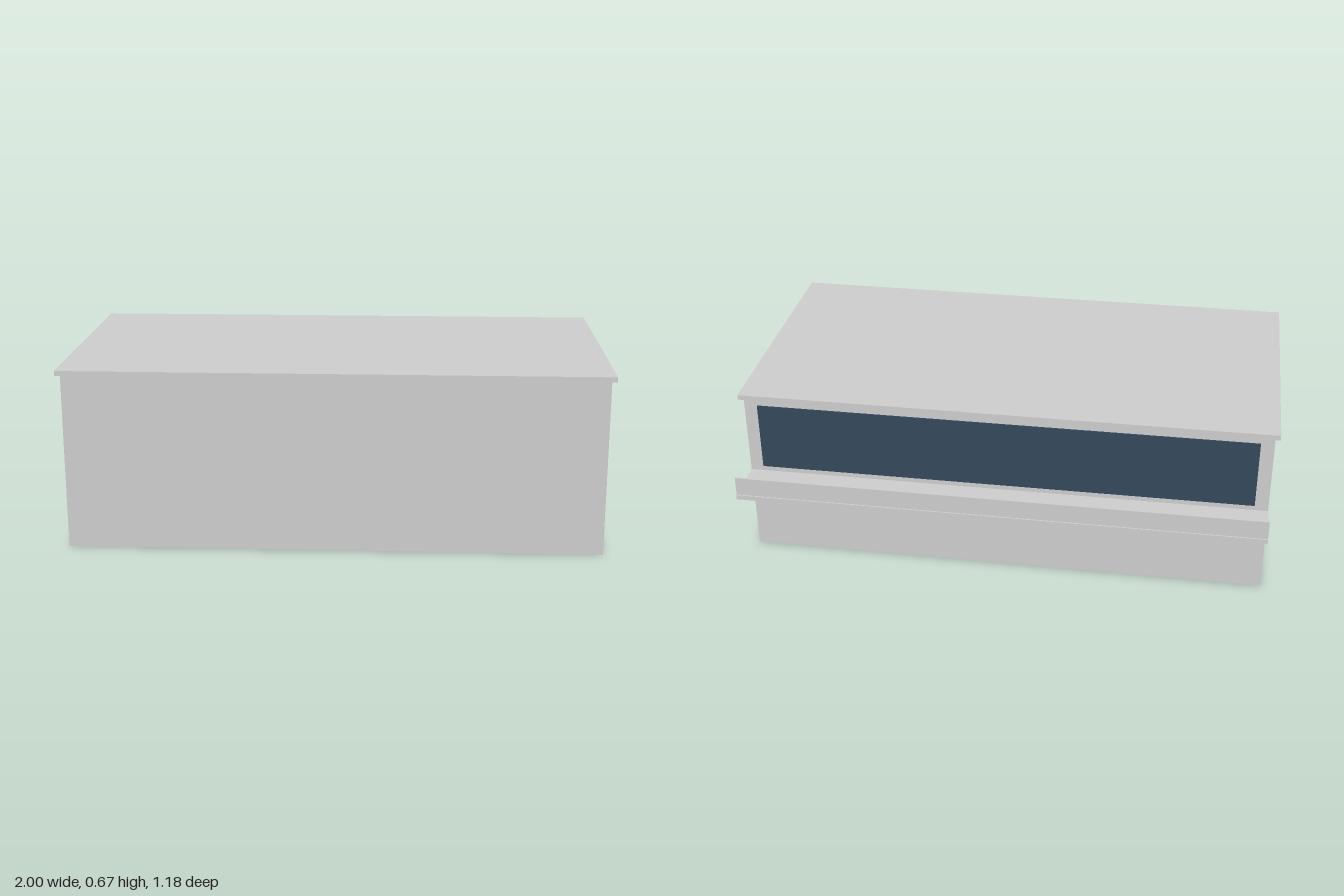
import * as THREE from 'three';

export function createModel() {
  const model = new THREE.Group();
  const grey = new THREE.MeshStandardMaterial({ color: 0xcccccc });
  const glass = new THREE.MeshStandardMaterial({ color: 0x33485a });

  // Box given by its [min, max] extents on each axis
  function box(name, [x0, x1], [y0, y1], [z0, z1], material = grey) {
    const mesh = new THREE.Mesh(new THREE.BoxGeometry(x1 - x0, y1 - y0, z1 - z0), material);
    mesh.position.set((x0 + x1) / 2, (y0 + y1) / 2, (z0 + z1) / 2);
    mesh.name = name;
    model.add(mesh);
  }

  // Main block and overhanging flat roof
  box('walls', [-0.983, 0.983], [0, 0.653], [-0.405, 0.577]);
  box('roof', [-1, 1], [0.653, 0.672], [-0.422, 0.592]);

  // Wide window across the upper back wall
  box('backWindow', [-0.933, 0.933], [0.36, 0.624], [-0.41, -0.4], glass);

  // Balcony slab with an upright parapet along its outer edge
  box('balconyFloor', [-0.983, 0.983], [0.321, 0.339], [-0.592, -0.405]);
  box('balconyParapet', [-0.983, 0.983], [0.339, 0.411], [-0.587, -0.58]);

  return model;
}
